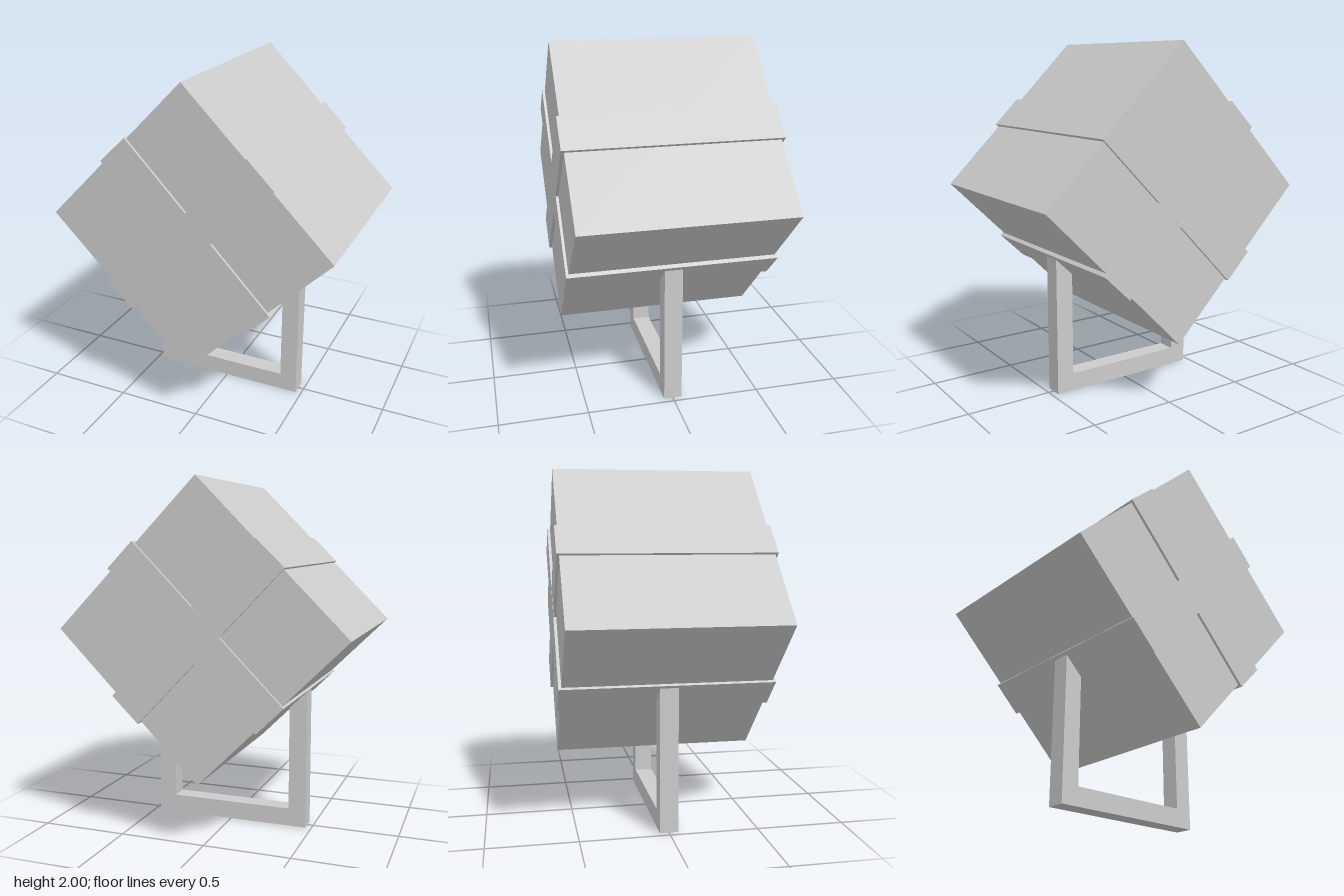
import * as THREE from 'three';

export function createModel() {
  const model = new THREE.Group();
  const material = new THREE.MeshStandardMaterial({ color: 0xcccccc, flatShading: true });

  function add(name, geometry, x, y, z, angle = 0) {
    const mesh = new THREE.Mesh(geometry, material);
    mesh.name = name;
    mesh.position.set(x, y, z);
    mesh.rotation.z = THREE.MathUtils.degToRad(angle);
    model.add(mesh);
  }

  // Cube balanced on one edge
  const side = 1.153;
  add('cube', new THREE.BoxGeometry(side, side, 1.16), 0, 1.185, 0, 45);

  // Two crossed bands wrapped around the cube, one very slightly askew
  add('bandRising', new THREE.BoxGeometry(1.184, 0.207, 1.193), 0.011, 1.176, 0, 45.1);
  add('bandFalling', new THREE.BoxGeometry(1.184, 0.211, 1.19), 0.006, 1.184, 0, -46.2);

  // U-shaped stand whose uprights run into the underside of the cube
  const outer = 0.465, inner = 0.362, top = 0.85, base = 0.105, depth = 0.104;
  const profile = new THREE.Shape([
    [-outer, 0], [outer, 0], [outer, top], [inner, top],
    [inner, base], [-inner, base], [-inner, top], [-outer, top],
  ].map(([x, y]) => new THREE.Vector2(x, y)));
  add('stand', new THREE.ExtrudeGeometry(profile, { depth, bevelEnabled: false }), 0, 0, -depth / 2);

  return model;
}
